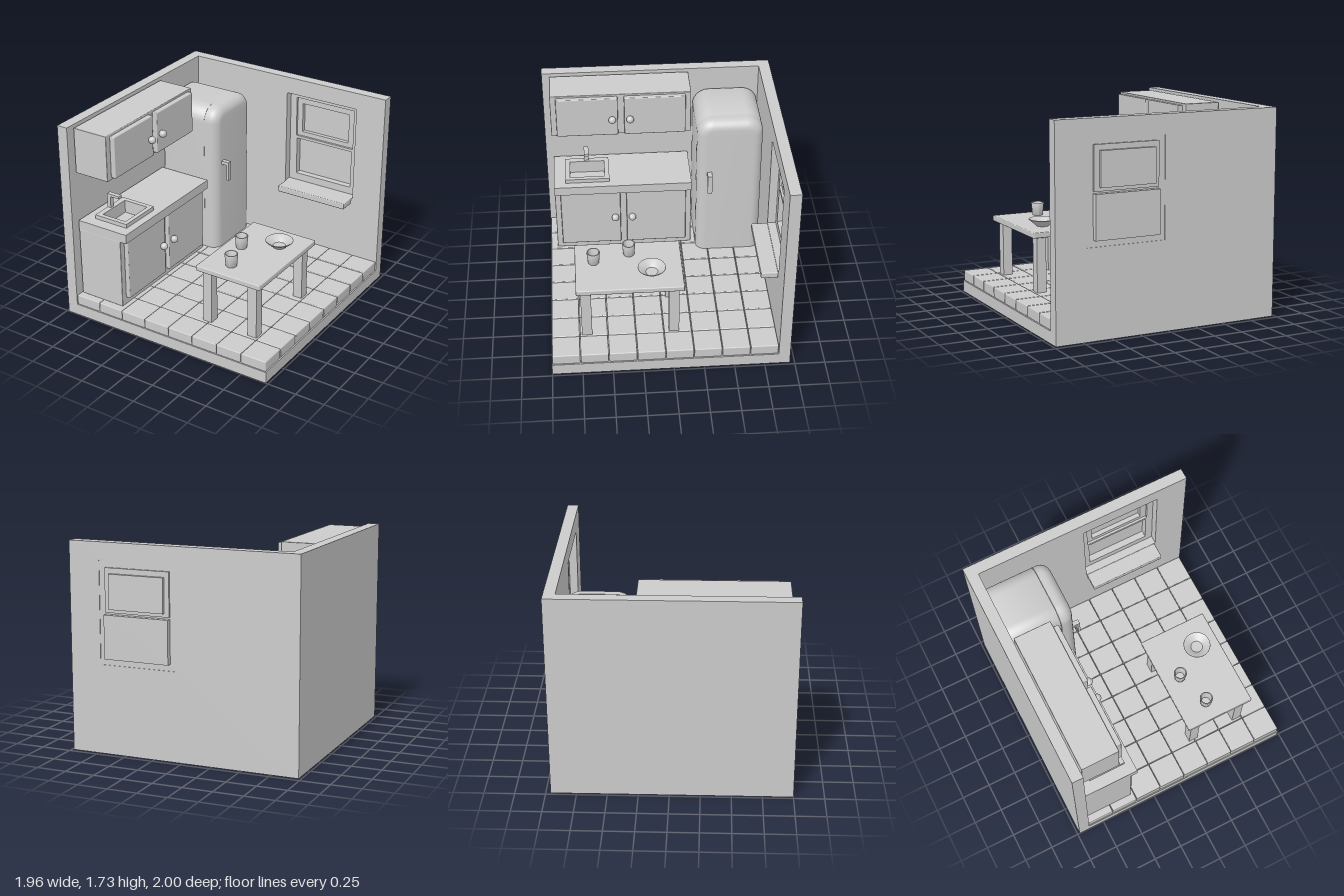
import * as THREE from 'three';
import { toCreasedNormals } from 'three/addons/utils/BufferGeometryUtils.js';
import { RoundedBoxGeometry } from 'three/addons/geometries/RoundedBoxGeometry.js';

const grey = new THREE.MeshStandardMaterial({ color: 0xcccccc });
const greyDouble = new THREE.MeshStandardMaterial({ color: 0xcccccc, side: THREE.DoubleSide });

function add(parent, name, geometry, material = grey) {
  const mesh = new THREE.Mesh(geometry, material);
  mesh.name = name;
  parent.add(mesh);
  return mesh;
}

// Box given by its limits, with optionally rounded edges
function box(parent, name, x0, x1, y0, y1, z0, z1, r = 0) {
  const size = [x1 - x0, y1 - y0, z1 - z0];
  const geo = r ? new RoundedBoxGeometry(...size, 2, r) : new THREE.BoxGeometry(...size);
  const mesh = add(parent, name, geo);
  mesh.position.set((x0 + x1) / 2, (y0 + y1) / 2, (z0 + z1) / 2);
  return mesh;
}

function rect(Type, [x0, x1, y0, y1]) {
  return new Type([[x0, y0], [x1, y0], [x1, y1], [x0, y1]].map(p => new THREE.Vector2(...p)));
}

// Upright slab with rectangular openings
function slab(outer, holes, z0, z1) {
  const shape = rect(THREE.Shape, outer);
  shape.holes = holes.map(h => rect(THREE.Path, h));
  return new THREE.ExtrudeGeometry(shape, { depth: z1 - z0, bevelEnabled: false }).translate(0, 0, z0);
}

// The same slab laid flat: limits are x0, x1, z0, z1
function flatSlab([x0, x1, z0, z1], [a0, a1, b0, b1], y0, y1) {
  return slab([x0, x1, -z1, -z0], [[a0, a1, -b1, -b0]], y0, y1).rotateX(-Math.PI / 2);
}

function group(parent, name) {
  const g = new THREE.Group();
  g.name = name;
  parent.add(g);
  return g;
}

function buildRoom(root) {
  const room = group(root, 'room');
  box(room, 'floorBase', -0.885, 0.98, 0, 0.1, -0.865, 1);
  box(room, 'leftWall', -0.98, -0.885, 0, 1.73, -0.96, 1);
  add(room, 'backWall', slab([-0.885, 0.98, 0, 1.73], [[0.04, 0.715, 0.74, 1.585]], -0.96, -0.865));

  const tiles = group(room, 'floorTiles');
  const step = 0.2325;
  for (let i = 0; i < 8; i++) {
    for (let j = 0; j < 8; j++) {
      const x = -0.885 + i * step, z = -0.863 + j * step;
      box(tiles, 'tile', x + 0.002, x + step - 0.002, 0.1, 0.19, z + 0.002, z + step - 0.002, 0.008);
    }
  }
}

function buildWindow(root) {
  const win = group(root, 'window');
  const lower = [0.1, 0.66, 0.795, 1.155], upper = [0.1, 0.66, 1.17, 1.53];
  const light = [0.14, 0.615, 1.2, 1.485];
  const inset = ([a, b, c, d], t) => [a + t, b - t, c + t, d - t];
  add(win, 'windowFrame', slab([0.04, 0.715, 0.74, 1.585], [lower, upper], -0.955, -0.935));
  // Sashes step outwards as thin trays
  add(win, 'lowerSash', slab(lower, [inset(lower, 0.01)], -0.997, -0.935));
  add(win, 'lowerPane', slab(lower, [], -1, -0.992));
  add(win, 'upperSash', slab(upper, [light], -0.972, -0.955));
  add(win, 'upperRim', slab(light, [inset(light, 0.01)], -0.997, -0.955));
  add(win, 'upperPane', slab(light, [], -1, -0.992));
  box(win, 'windowSill', 0.045, 0.705, 0.69, 0.745, -0.725, -0.865, 0);
  win.children.at(-1).geometry = new RoundedBoxGeometry(0.66, 0.055, 0.14, 2, 0.008);
}

// Fridge section with rounded top, extruded along x; the foot stays flat
function fridgeShell(x0, x1, bevel, flatBack) {
  const s = new THREE.Shape(), r = 0.14, a = 0.295, b = 0.855, top = 1.53;
  s.moveTo(a, 0.19);
  s.lineTo(b, 0.19);
  s.lineTo(b, top - r);
  s.absarc(b - r, top - r, r, 0, Math.PI / 2);
  s.lineTo(a + r, top);
  s.absarc(a + r, top - r, r, Math.PI / 2, Math.PI);
  const front = x1 - x0 - bevel, back = flatBack ? 0 : bevel;
  const geo = new THREE.ExtrudeGeometry(s, {
    depth: front - back, curveSegments: 10, bevelSize: bevel,
    bevelThickness: bevel, bevelOffset: -bevel, bevelSegments: bevel > 0.05 ? 8 : 2
  });
  const p = geo.attributes.position;
  for (let i = 0; i < p.count; i++) {
    if (p.getY(i) < 0.4) p.setY(i, 0.19);
    if (flatBack && p.getZ(i) < 0) p.setZ(i, 0);
  }
  geo.rotateY(Math.PI / 2).translate(x0 + back, 0, 0);
  return toCreasedNormals(geo, 0.6);
}

function buildFridge(root) {
  const fridge = group(root, 'fridge');
  add(fridge, 'fridgeBody', fridgeShell(-0.875, -0.448, 0.01, false));
  add(fridge, 'fridgeDoor', fridgeShell(-0.448, -0.325, 0.085, true));
  box(fridge, 'handleArm', -0.33, -0.255, 1.0, 1.03, -0.42, -0.38);
  box(fridge, 'handleGrip', -0.275, -0.255, 0.855, 1.0, -0.42, -0.38);
}

// Pair of cabinet doors with round knobs
function doors(parent, x0, x1, y0, y1, knobX, knobY) {
  for (const side of [-1, 1]) {
    const c = 0.34 + side * 0.2865;
    box(parent, 'cabinetDoor', x0, x1, y0, y1, c - 0.26, c + 0.26, 0.008);
    add(parent, 'knob', new THREE.SphereGeometry(0.032, 24, 16)).position.set(knobX, knobY, 0.34 + side * 0.075);
  }
}

function buildCabinets(root) {
  const upper = group(root, 'wallCabinet');
  box(upper, 'cabinetBody', -0.87, -0.55, 1.315, 1.71, -0.255, 0.935, 0.006);
  doors(upper, -0.552, -0.505, 1.335, 1.695, -0.48, 1.5);

  const base = group(root, 'baseCabinet');
  box(base, 'cabinetBody', -0.87, -0.45, 0.19, 0.802, -0.255, 0.935, 0.006);
  doors(base, -0.452, -0.41, 0.255, 0.8, -0.387, 0.537);

  const basin = [-0.725, -0.495, 0.495, 0.795];
  add(base, 'worktop', flatSlab([-0.87, -0.39, -0.255, 0.935], basin, 0.8, 0.88));
  add(base, 'sinkRim', flatSlab([-0.775, -0.457, 0.455, 0.835], basin, 0.88, 0.915));
  box(base, 'tapPost', -0.775, -0.742, 0.915, 1.04, 0.627, 0.667);
  box(base, 'tapSpout', -0.742, -0.655, 1.017, 1.04, 0.627, 0.667);
}

function buildTable(root) {
  const table = group(root, 'table');
  box(table, 'tableTop', 0.18, 0.78, 0.658, 0.705, -0.1, 0.78, 0.008);
  for (const x of [0.225, 0.65]) {
    for (const z of [-0.06, 0.66]) box(table, 'tableLeg', x, x + 0.082, 0.188, 0.66, z, z + 0.085);
  }

  // Crockery turned from an outer and inner profile
  const turned = (name, profile, x, z) => {
    const geo = new THREE.LatheGeometry(profile.map(p => new THREE.Vector2(...p)), 28);
    add(table, name, toCreasedNormals(geo, 0.6), greyDouble).position.set(x, 0.705, z);
  };
  const cup = [[0, 0], [0.042, 0], [0.046, 0.006], [0.055, 0.105], [0.053, 0.111],
    [0.046, 0.111], [0.043, 0.105], [0.036, 0.018], [0, 0.018]];
  const bowl = [[0, 0], [0.048, 0], [0.054, 0.005], [0.115, 0.058], [0.114, 0.062],
    [0.106, 0.061], [0.05, 0.014], [0, 0.012]];
  turned('cup', cup, 0.33, 0.33);
  turned('cup', cup, 0.42, 0.625);
  turned('bowl', bowl, 0.585, 0.155);
}

export function createModel() {
  const model = new THREE.Group();
  model.name = 'kitchen';
  buildRoom(model);
  buildWindow(model);
  buildFridge(model);
  buildCabinets(model);
  buildTable(model);
  return model;
}
